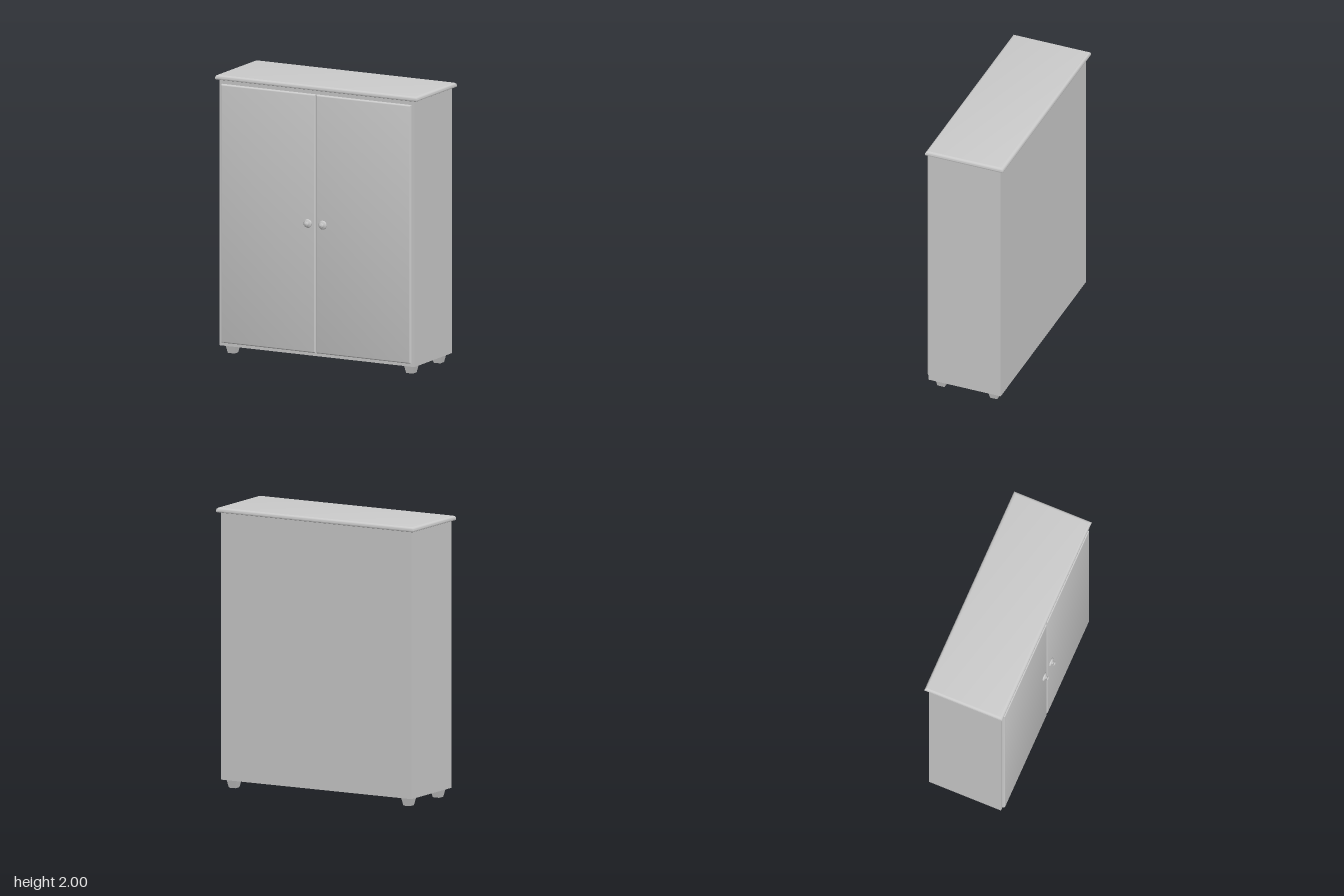
import * as THREE from 'three';
import { toCreasedNormals } from 'three/addons/utils/BufferGeometryUtils.js';

const material = new THREE.MeshStandardMaterial({ color: 0xcccccc });

function add(parent, name, geometry, x = 0, y = 0, z = 0) {
  const mesh = new THREE.Mesh(geometry, material);
  mesh.name = name;
  mesh.position.set(x, y, z);
  parent.add(mesh);
  return mesh;
}

// Rectangular solid with a moulded edge: profile is a list of [inset, height], bottom to top
function mouldedPanel(width, depth, profile) {
  const corners = [[1, 1], [1, -1], [-1, -1], [-1, 1]];
  const positions = [];
  const index = [];
  for (const [inset, y] of profile) {
    for (const [sx, sz] of corners) {
      positions.push(sx * (width / 2 - inset), y, sz * (depth / 2 - inset));
    }
  }
  for (let r = 0; r < profile.length - 1; r++) {
    for (let i = 0; i < 4; i++) {
      const a = r * 4 + i;
      const b = r * 4 + (i + 1) % 4;
      index.push(a, b, b + 4, a, b + 4, a + 4);
    }
  }
  const t = (profile.length - 1) * 4;
  index.push(0, 2, 1, 0, 3, 2, t, t + 1, t + 2, t, t + 2, t + 3);
  const geometry = new THREE.BufferGeometry();
  geometry.setAttribute('position', new THREE.Float32BufferAttribute(positions, 3));
  geometry.setIndex(index);
  return toCreasedNormals(geometry, 0.6);
}

// Quarter-round edge of the given radius, ending at height top
function roundedEdge(radius, top, steps = 5) {
  return Array.from({ length: steps + 1 }, (_, i) => {
    const a = (i / steps) * Math.PI / 2;
    return [radius * (1 - Math.cos(a)), top - radius * (1 - Math.sin(a))];
  });
}

export function createModel() {
  const model = new THREE.Group();
  model.name = 'cabinet';

  // Carcass
  add(model, 'body', new THREE.BoxGeometry(1.56, 1.907, 0.547), 0, 1.0135, -0.0165);

  // Overhanging top with a rounded rim and a small step underneath
  const topProfile = [[0.008, 0], [0.002, 0.003], [0, 0.009], ...roundedEdge(0.022, 0.035)];
  add(model, 'top', mouldedPanel(1.612, 0.592, topProfile), 0, 1.965, -0.021);

  // Tapered square feet
  const footGeometry = mouldedPanel(0.08, 0.08, [[0.013, 0], [0, 0.062]]);
  for (const x of [-0.714, 0.714]) {
    for (const z of [-0.22, 0.18]) add(model, 'foot', footGeometry, x, 0, z);
  }

  // Doors with rounded front edges
  const doorProfile = [[0, 0], ...roundedEdge(0.014, 0.025)];
  const doorGeometry = mouldedPanel(0.757, 1.854, doorProfile).rotateX(Math.PI / 2);

  // Turned knob: rosette, stem and flared button
  const knobPoints = [
    [0, 0], [0.031, 0], [0.032, 0.004], [0.031, 0.009], [0.025, 0.014], [0.012, 0.016],
    [0.008, 0.021], [0.009, 0.026], [0.017, 0.029], [0.018, 0.032], [0.014, 0.036], [0, 0.039],
  ].map(([r, y]) => new THREE.Vector2(r, y));
  const knobGeometry = new THREE.LatheGeometry(knobPoints, 20).rotateX(Math.PI / 2);

  for (const [side, s] of [['left', 1], ['right', -1]]) {
    add(model, side + 'Door', doorGeometry, s * 0.3815, 1.01, 0.253);
    add(model, side + 'Knob', knobGeometry, s * 0.06, 1.01, 0.277);
  }

  return model;
}
